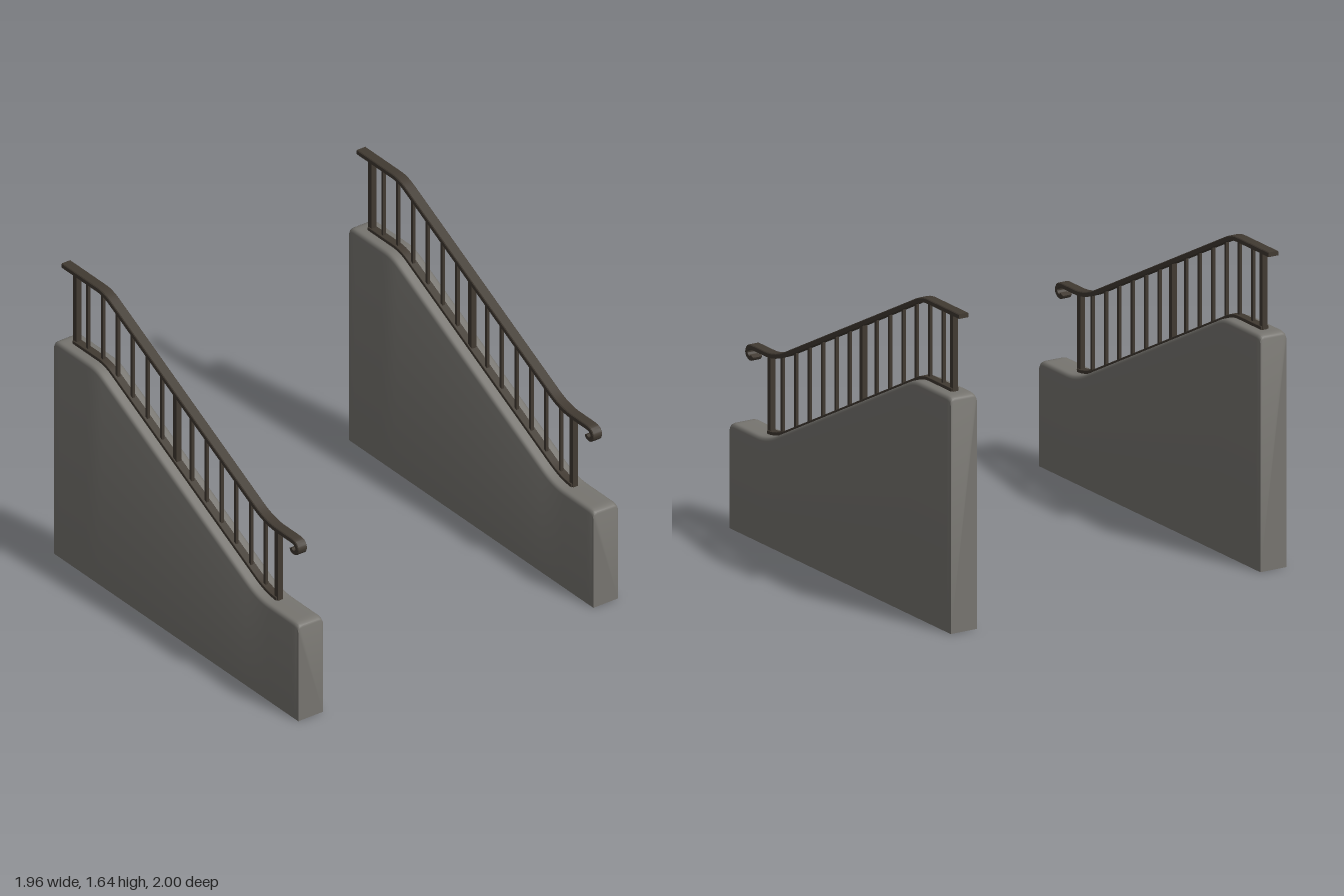
import * as THREE from 'three';
import { toCreasedNormals } from 'three/addons/utils/BufferGeometryUtils.js';

const stone = new THREE.MeshStandardMaterial({ color: 0x777570, side: THREE.DoubleSide });
stone.name = 'stone';
const iron = new THREE.MeshStandardMaterial({ color: 0x413a32 });
iron.name = 'dark iron';

const SIDE_X = 0.903;

// Height of the handrail's centre line: flat, sloping, flat, with eased bends
const ramp = (u, b) => (u < -b ? 0 : u > b ? u : (u + b) ** 2 / (4 * b));
const railY = (z) => 0.956 + 0.506 * (ramp(0.666 - z, 0.09) - ramp(-0.66 - z, 0.05));
const WALL_DROP = 0.41;

// Even steps from z0 back to z1
const steps = (z0, z1, n) => Array.from({ length: n + 1 }, (_, i) => z0 + ((z1 - z0) * i) / n);

// Skin over matching cross-sections that run from front to back
function loft(sections, closed = true) {
  const pos = [];
  const tri = (...pts) => pts.forEach((p) => pos.push(...p));
  const n = sections[0].length;
  for (let i = 0; i < sections.length - 1; i++) {
    for (let j = 0; j < (closed ? n : n - 1); j++) {
      const k = (j + 1) % n;
      const a = sections[i][j], b = sections[i][k];
      const d = sections[i + 1][j], c = sections[i + 1][k];
      tri(a, d, c);
      tri(a, c, b);
    }
  }
  const first = sections[0], last = sections[sections.length - 1];
  for (let k = 1; k < n - 1; k++) {
    tri(first[0], first[k], first[k + 1]);
    tri(last[0], last[k + 1], last[k]);
  }
  const geo = new THREE.BufferGeometry();
  geo.setAttribute('position', new THREE.Float32BufferAttribute(pos, 3));
  return toCreasedNormals(geo, 0.6);
}

// Flat bar with softened edges swept along a path of [z, y] points
function bar(path, width, thick, bevel) {
  const w = width / 2, t = thick / 2, e = bevel;
  const profile = [[w, -t], [w, t - e], [w - e, t], [-w + e, t], [-w, t - e], [-w, -t]];
  return loft(path.map(([z, y], i) => {
    const p = path[Math.max(i - 1, 0)], q = path[Math.min(i + 1, path.length - 1)];
    const len = Math.hypot(q[0] - p[0], q[1] - p[1]);
    const tz = (q[0] - p[0]) / len, ty = (q[1] - p[1]) / len;
    return profile.map(([u, v]) => [u, y - tz * v, z + ty * v]);
  }));
}

// Solid side wall with rounded top edges, open underneath
function wallGeometry() {
  const w = 0.076;
  const zs = [1, 0.996, 0.985, ...steps(0.965, -0.965, 90), -0.985, -0.996, -1];
  return loft(zs.map((z) => {
    const over = Math.max(0, Math.abs(z) - 0.965) / 0.035;
    const h = railY(z) - WALL_DROP - 0.02 * (1 - Math.sqrt(Math.max(0, 1 - over * over)));
    const half = [[w, 0], [w, h - 0.02], [w - 0.005, h - 0.008], [w - 0.012, h - 0.002], [w - 0.022, h]];
    const other = half.map(([x, y]) => [-x, y]).reverse();
    return [...half, ...other].map(([x, y]) => [x, y, z]);
  }), false);
}

// Handrail path: curled front end, then along the slope
function handrailPath() {
  const curl = new THREE.CatmullRomCurve3([
    [0.872, 0.911], [0.878, 0.9], [0.894, 0.895], [0.913, 0.902],
    [0.924, 0.92], [0.916, 0.942], [0.895, 0.954], [0.865, 0.956],
  ].map(([z, y]) => new THREE.Vector3(0, y, z)));
  const front = curl.getPoints(28).map((p) => [p.z, p.y]);
  return [...front, ...steps(0.84, -1, 92).map((z) => [z, railY(z)])];
}

function createSide(x, name) {
  const side = new THREE.Group();
  side.name = name;
  side.position.x = x;
  const add = (geo, mat, label) => {
    const mesh = new THREE.Mesh(geo, mat);
    mesh.name = label;
    side.add(mesh);
    return mesh;
  };

  add(wallGeometry(), stone, 'wall');
  add(bar(handrailPath(), 0.056, 0.024, 0.004), iron, 'handrail');
  const base = steps(0.745, -0.92, 84).map((z) => [z, railY(z) - WALL_DROP + 0.008]);
  add(bar(base, 0.042, 0.018, 0.002), iron, 'bottomRail');

  // Upright bars between the bottom rail and the handrail
  const upright = (z, size, label) => {
    const top = railY(z), bottom = top - WALL_DROP;
    const mesh = add(new THREE.BoxGeometry(size, top - bottom, size), iron, label);
    mesh.position.set(0, (top + bottom) / 2, z);
  };
  for (let i = 0; i < 13; i++) {
    if (i !== 6) upright(0.634 - 0.121 * i, 0.016, 'baluster');
  }
  for (const z of [0.738, -0.092, -0.91]) upright(z, 0.029, 'post');
  return side;
}

export function createModel() {
  const model = new THREE.Group();
  model.name = 'stairSideWalls';
  model.add(createSide(SIDE_X, 'leftSide'), createSide(-SIDE_X, 'rightSide'));
  return model;
}
